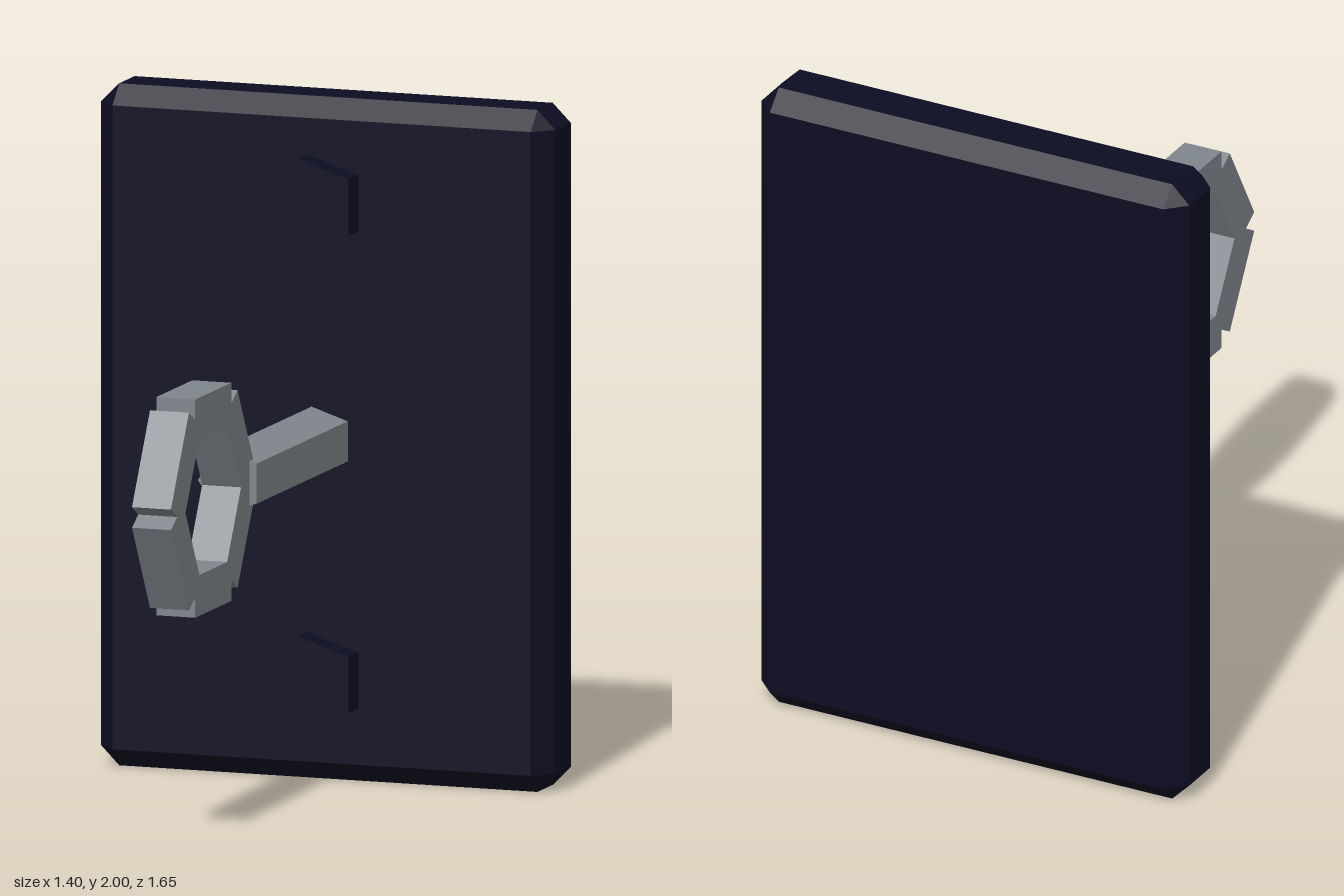
import * as THREE from 'three';
import { ConvexGeometry } from 'three/addons/geometries/ConvexGeometry.js';

const MID_Y = 1.0;

// Box with every edge chamfered by c
function chamferedBox(w, h, d, c) {
  const [a, b, e] = [w / 2, h / 2, d / 2];
  const points = [];
  for (const sx of [-1, 1]) for (const sy of [-1, 1]) for (const sz of [-1, 1]) {
    points.push(
      new THREE.Vector3(sx * a, sy * (b - c), sz * (e - c)),
      new THREE.Vector3(sx * (a - c), sy * b, sz * (e - c)),
      new THREE.Vector3(sx * (a - c), sy * (b - c), sz * e),
    );
  }
  return new ConvexGeometry(points);
}

// Five-sided bar along z, one corner pointing to -x
function pentagonBar(radius, zBack, zFront) {
  return new THREE.CylinderGeometry(radius, radius, zFront - zBack, 5, 1, false, -Math.PI / 2)
    .rotateX(Math.PI / 2)
    .translate(0, 0, (zBack + zFront) / 2);
}

export function createModel() {
  const navy = new THREE.MeshStandardMaterial({ color: 0x0d0d22, flatShading: true });
  navy.name = 'navy';
  const steel = new THREE.MeshStandardMaterial({ color: 0x7f868c, flatShading: true });
  steel.name = 'steel';

  const model = new THREE.Group();
  model.name = 'wallMountedRing';
  const add = (parent, name, geometry, material, y = 0, z = 0) => {
    const mesh = new THREE.Mesh(geometry, material);
    mesh.name = name;
    mesh.position.set(0, y, z);
    parent.add(mesh);
    return mesh;
  };

  // Back plate
  add(model, 'backPlate', chamferedBox(1.4, 2, 0.24, 0.056), navy, MID_Y, -0.707);

  // Bolts above and below the rod
  add(model, 'upperBolt', pentagonBar(0.14, -0.63, -0.507), navy, MID_Y + 0.703);
  add(model, 'lowerBolt', pentagonBar(0.14, -0.63, -0.507), navy, MID_Y - 0.697);

  // Rod
  add(model, 'rod', pentagonBar(0.1, -0.63, 0.173), steel, MID_Y + 0.003);

  // Hexagonal ring of six straight bars
  const ring = new THREE.Group();
  ring.name = 'ring';
  ring.position.set(0, MID_Y + 0.003, 0.475);
  for (let i = 0; i < 6; i++) {
    const bar = new THREE.BoxGeometry(0.12, 0.12, 0.3)
      .translate(0, 0.26, 0)
      .rotateX((i * Math.PI) / 3);
    add(ring, 'ringBar' + (i + 1), bar, steel);
  }
  model.add(ring);

  return model;
}
